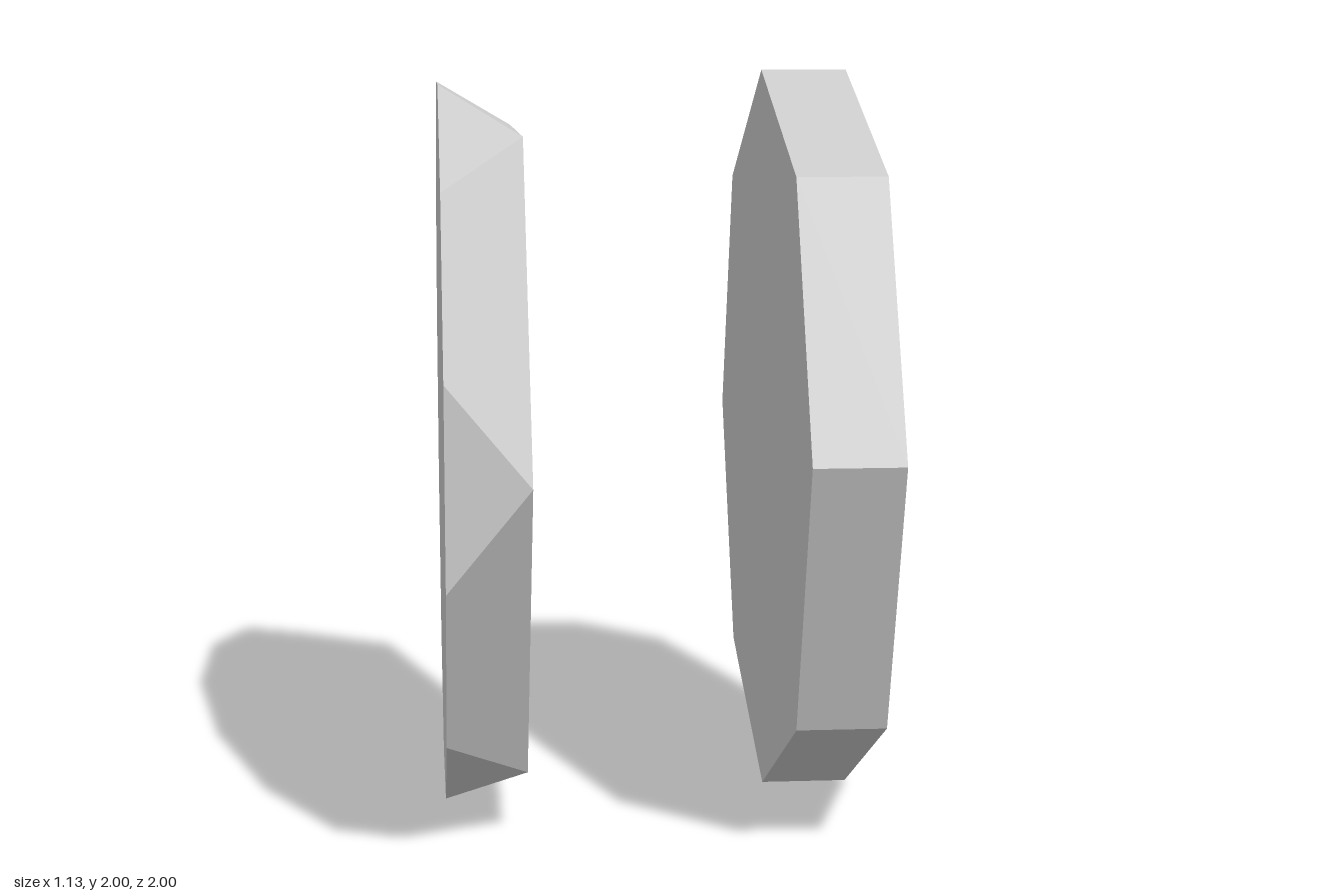
import * as THREE from 'three';
import { ConvexGeometry } from 'three/addons/geometries/ConvexGeometry.js';

// Regular polygon in the plane x, centred at y = 1; angles run from +z towards +y.
function ring(x, sides, radius, startDegrees) {
  return Array.from({ length: sides }, (_, i) => {
    const a = THREE.MathUtils.degToRad(startDegrees) + (i / sides) * Math.PI * 2;
    return new THREE.Vector3(x, 1 + radius * Math.sin(a), radius * Math.cos(a));
  });
}

export function createModel() {
  const group = new THREE.Group();
  const material = new THREE.MeshStandardMaterial({ color: 0xcccccc, flatShading: true });

  function addDisc(name, ...rings) {
    const mesh = new THREE.Mesh(new ConvexGeometry(rings.flat()), material);
    mesh.name = name;
    group.add(mesh);
  }

  // Plain eight-sided disc
  addDisc('octagonDisc', ring(0.33, 8, 1, 3.7), ring(0.565, 8, 1, 3.7));

  // Faceted disc: twelve-sided outer face, six-sided inner face whose
  // corners sit over the middles of every second outer edge
  const innerRadius = Math.cos(Math.PI / 12);
  addDisc('facetedDisc', ring(-0.565, 12, 1, 16), ring(-0.35, 6, innerRadius, 1));

  return group;
}
